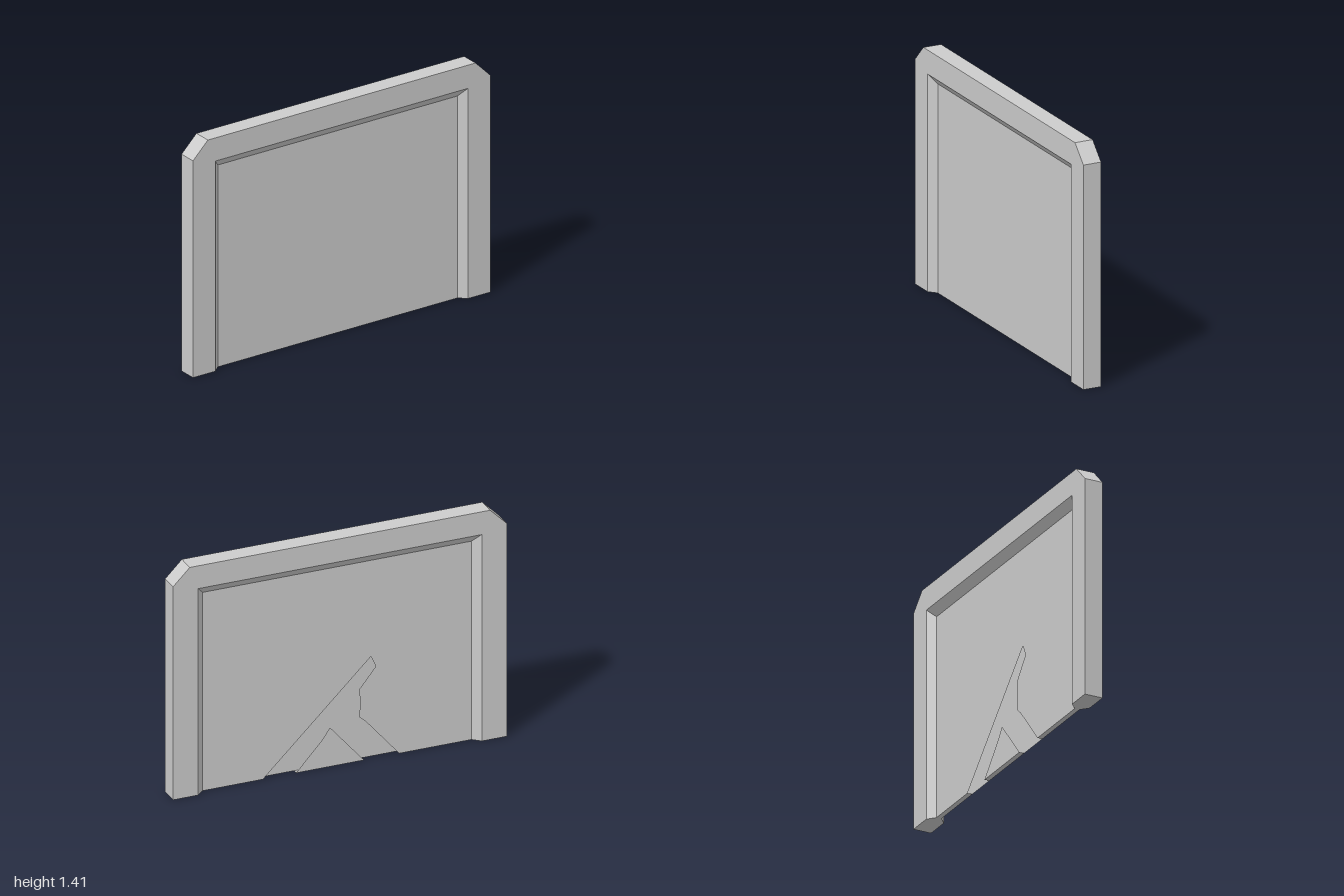
import * as THREE from 'three';

const material = new THREE.MeshStandardMaterial({ color: 0xcccccc, flatShading: true, side: THREE.DoubleSide });

const FRAME_Z = 0.055; // half depth of the frame
const PANEL_Z = 0.015; // half depth of the sunken panel

// Outlines run from the left foot over the top to the right foot
const outer = [[1, 0], [1, 1.31], [0.9, 1.41], [-0.9, 1.41], [-1, 1.31], [-1, 0]];
const lip = [[0.85, 0], [0.85, 1.27], [-0.85, 1.27], [-0.85, 0]];
const inner = [[0.805, 0], [0.805, 1.22], [-0.805, 1.22], [-0.805, 0]];

// Forked break in the back sheet, and the shard left standing between its legs
const crack = [[0.444, 0], [-0.203, 0.629], [-0.232, 0.562], [-0.133, 0.44], [-0.139, 0.357],
  [-0.133, 0.27], [-0.174, 0.233], [-0.372, 0]];
const shard = [[0.246, 0], [0.095, 0.166], [0.042, 0.239], [-0.01, 0.178], [-0.162, 0]];

export function createModel() {
  const model = new THREE.Group();

  const add = (name, geometry) => {
    const mesh = new THREE.Mesh(geometry, material);
    mesh.name = name;
    model.add(mesh);
  };

  // Flat sheet facing forwards (side 1) or backwards (side -1)
  const sheet = (name, points, z, side) => {
    const shape = new THREE.Shape(points.map(([x, y]) => new THREE.Vector2(x * side, y)));
    const geometry = new THREE.ShapeGeometry(shape);
    if (side < 0) geometry.rotateY(Math.PI);
    add(name, geometry.translate(0, 0, z * side));
  };

  // Band of flat quads between two outlines at depths za and zb
  const band = (name, a, za, b, zb, flip = false) => {
    const positions = [];
    for (let i = 0; i < a.length - 1; i++) {
      const p = [...a[i], za], q = [...b[i], zb];
      const r = [...b[i + 1], zb], s = [...a[i + 1], za];
      const corners = flip ? [p, r, q, p, s, r] : [p, q, r, p, r, s];
      positions.push(...corners.flat());
    }
    const geometry = new THREE.BufferGeometry();
    geometry.setAttribute('position', new THREE.Float32BufferAttribute(positions, 3));
    geometry.computeVertexNormals();
    add(name, geometry);
  };

  // Frame: outer edge, then the face and sloping inner edge on both sides
  band('frameEdge', outer, FRAME_Z, outer, -FRAME_Z);
  for (const side of [1, -1]) {
    const end = side > 0 ? 'front' : 'back';
    sheet(end + 'FrameFace', [...outer, ...[...lip].reverse()], FRAME_Z, side);
    band(end + 'FrameBevel', lip, FRAME_Z * side, inner, PANEL_Z * side, side > 0);
  }

  // Panel: whole sheet in front, broken sheet with its shard behind
  sheet('frontPanel', inner, PANEL_Z, 1);
  sheet('backPanel', [...inner, ...[...crack].reverse()], PANEL_Z, -1);
  sheet('backShard', shard, PANEL_Z, -1);

  // Undersides of the panel, open where the break meets the ground
  for (const [x0, x1] of [[-0.805, -0.372], [-0.162, 0.246], [0.444, 0.805]]) {
    const line = [[x0, 0], [x1, 0]];
    band('panelUnderside', line, PANEL_Z, line, -PANEL_Z);
  }

  // Undersides of the two frame posts
  for (const side of [1, -1]) {
    const foot = new THREE.Shape([
      [1, -FRAME_Z], [1, FRAME_Z], [0.85, FRAME_Z], [0.805, PANEL_Z], [0.805, -PANEL_Z], [0.85, -FRAME_Z],
    ].map(([x, z]) => new THREE.Vector2(x * side, z)));
    add(side > 0 ? 'leftFoot' : 'rightFoot', new THREE.ShapeGeometry(foot).rotateX(Math.PI / 2));
  }

  return model;
}
